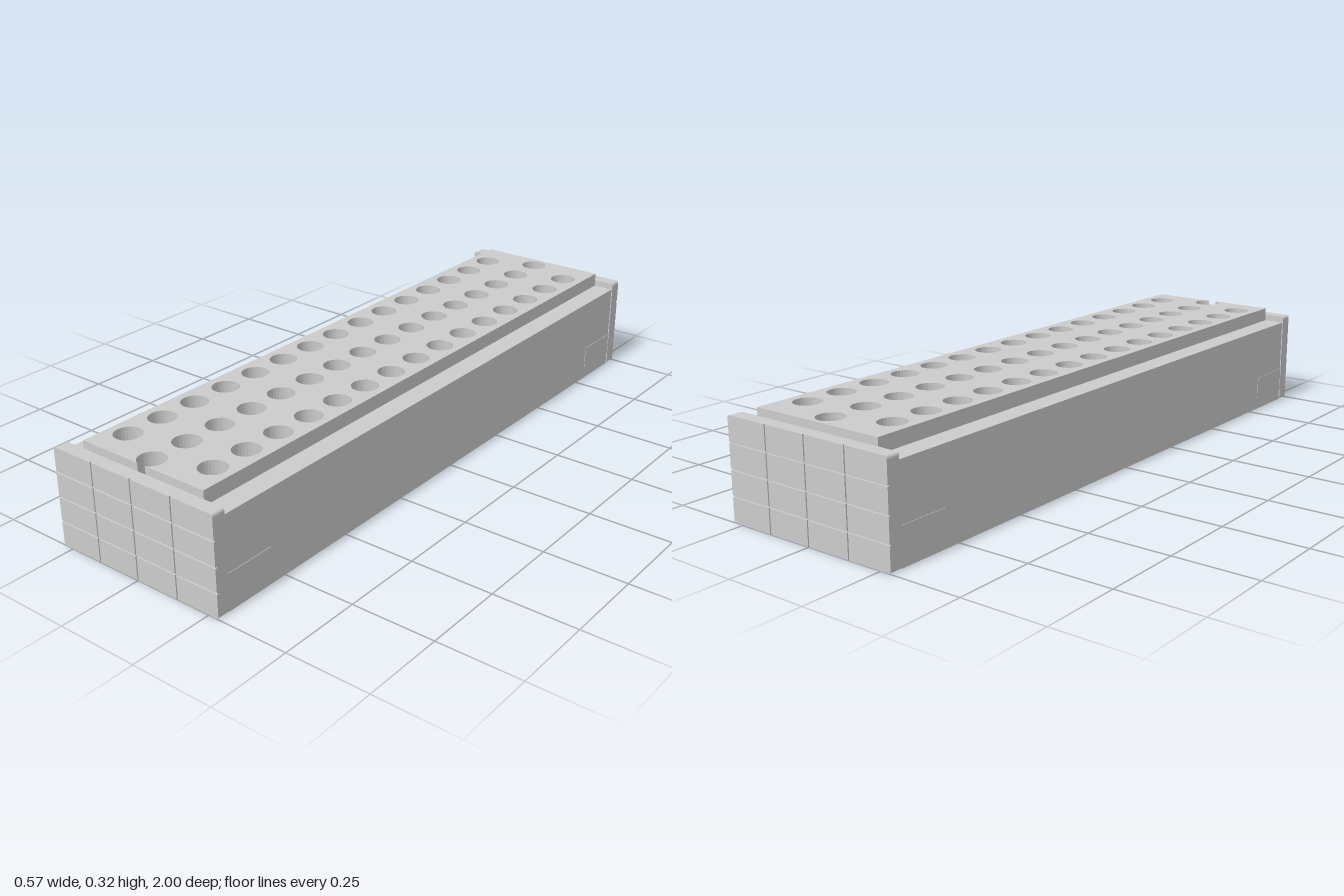
import * as THREE from 'three';

const material = new THREE.MeshStandardMaterial({ color: 0xcccccc, side: THREE.DoubleSide });

const CEILING = 0.135; // top of the open cavity underneath
const FLOOR = 0.16;    // bottom of the round holes
const END = 0.95;      // inner face of the closed ends

function addMesh(parent, name, geometry) {
  const mesh = new THREE.Mesh(geometry, material);
  mesh.name = name;
  parent.add(mesh);
  return mesh;
}

function addBox(parent, name, w, h, d, x, y, z) {
  const mesh = addMesh(parent, name, new THREE.BoxGeometry(w, h, d));
  mesh.position.set(x, y, z);
  return mesh;
}

// Straight extrusion of a shape along z between two depths
function extrudeZ(shape, z0, z1) {
  return new THREE.ExtrudeGeometry(shape, { depth: z1 - z0, bevelEnabled: false, curveSegments: 5 })
    .translate(0, 0, z0);
}

function polygon(points) {
  return new THREE.Shape(points.map(([x, y]) => new THREE.Vector2(x, y)));
}

// Rectangle with a separate radius per corner: bottom left, bottom right, top right, top left
function cornerRect(x0, y0, x1, y1, [bl, br, tr, tl]) {
  const s = new THREE.Shape();
  s.moveTo(x0 + bl, y0);
  s.lineTo(x1 - br, y0);
  if (br) s.quadraticCurveTo(x1, y0, x1, y0 + br);
  s.lineTo(x1, y1 - tr);
  if (tr) s.quadraticCurveTo(x1, y1, x1 - tr, y1);
  s.lineTo(x0 + tl, y1);
  if (tl) s.quadraticCurveTo(x0, y1, x0, y1 - tl);
  s.lineTo(x0, y0 + bl);
  if (bl) s.quadraticCurveTo(x0, y0, x0 + bl, y0);
  return s;
}

// End plate: backing with a 4 x 4 grid of slightly raised tiles
function endPlate() {
  const group = new THREE.Group();
  const W = 0.283, H = 0.295, R = 0.01, gap = 0.002, face = 0.995;
  addMesh(group, 'plateBacking', extrudeZ(cornerRect(-W, 0, W, H, [R, R, R, R]), 0.9585, face));
  for (let i = 0; i < 4; i++) {
    for (let j = 0; j < 4; j++) {
      const x0 = -W + i * W / 2 + (i > 0 ? gap : 0);
      const x1 = -W + (i + 1) * W / 2 - (i < 3 ? gap : 0);
      const y0 = j * H / 4 + (j > 0 ? gap : 0);
      const y1 = (j + 1) * H / 4 - (j < 3 ? gap : 0);
      const radii = [[0, 0], [3, 0], [3, 3], [0, 3]].map(([a, b]) => (a === i && b === j ? R : 0));
      addMesh(group, 'plateTile', extrudeZ(cornerRect(x0, y0, x1, y1, radii), face, 1));
    }
  }
  return group;
}

// Top panel: three staggered rows of round holes, the front one opening through the edge
function topPanel() {
  const w = 0.215, z0 = -0.9585, z1 = 0.9575, r = 0.04, pitch = 0.1217, top = 0.318;
  const a = Math.asin((z1 - 0.92) / r);
  const shape = new THREE.Shape();
  shape.moveTo(-w, z0);
  shape.lineTo(w, z0);
  shape.lineTo(w, z1);
  shape.lineTo(r * Math.cos(a), z1);
  shape.absarc(0, 0.92, r, a, Math.PI - a, true);
  shape.lineTo(-w, z1);
  shape.closePath();
  const addHole = (x, z) => {
    const hole = new THREE.Path();
    hole.absarc(x, z, r, 0, Math.PI * 2, true);
    shape.holes.push(hole);
  };
  for (let i = 1; i < 16; i++) addHole(0, 0.92 - i * pitch);
  for (let i = 0; i < 15; i++) for (const s of [-1, 1]) addHole(s * 0.152, 0.86 - i * pitch);
  return new THREE.ExtrudeGeometry(shape, { depth: top - FLOOR, bevelEnabled: false, curveSegments: 14 })
    .rotateX(Math.PI / 2).translate(0, top, 0);
}

export function createModel() {
  const model = new THREE.Group();
  model.name = 'perforatedTray';

  // Double side walls with a channel open underneath
  for (const s of [-1, 1]) {
    const wall = polygon([
      [0.25, 0], [0.28, 0], [0.28, 0.275], [0.215, 0.275], [0.215, FLOOR],
      [0.14, FLOOR], [0.14, 0], [0.185, 0], [0.185, CEILING], [0.25, CEILING],
    ].map(([x, y]) => [s * x, y]));
    addMesh(model, s > 0 ? 'leftWall' : 'rightWall', extrudeZ(wall, -END, END));
  }

  // Solid ends closing the cavity and channels
  const endShape = polygon([
    [-0.28, 0], [0.28, 0], [0.28, 0.275], [0.215, 0.275],
    [0.215, FLOOR], [-0.215, FLOOR], [-0.215, 0.275], [-0.28, 0.275],
  ]);
  addMesh(model, 'frontEnd', extrudeZ(endShape, END, 0.9585));
  addMesh(model, 'backEnd', extrudeZ(endShape, -0.9585, -END));

  // Cavity ceiling, which is also the floor of the holes
  addBox(model, 'holeFloor', 0.28, FLOOR - CEILING, 2 * END, 0, (FLOOR + CEILING) / 2, 0);
  addMesh(model, 'perforatedPanel', topPanel());

  // Tiled end plates
  const front = endPlate();
  front.name = 'frontPlate';
  const back = endPlate();
  back.name = 'backPlate';
  back.rotation.y = Math.PI;
  model.add(front, back);

  // Clips through the outer walls near the ends, thicker inside the channel
  for (const sx of [-1, 1]) {
    for (const sz of [-1, 1]) {
      addBox(model, 'sideClip', 0.046, 0.07, 0.16, sx * 0.2585, 0.075, sz * 0.88);
    }
  }
  return model;
}
